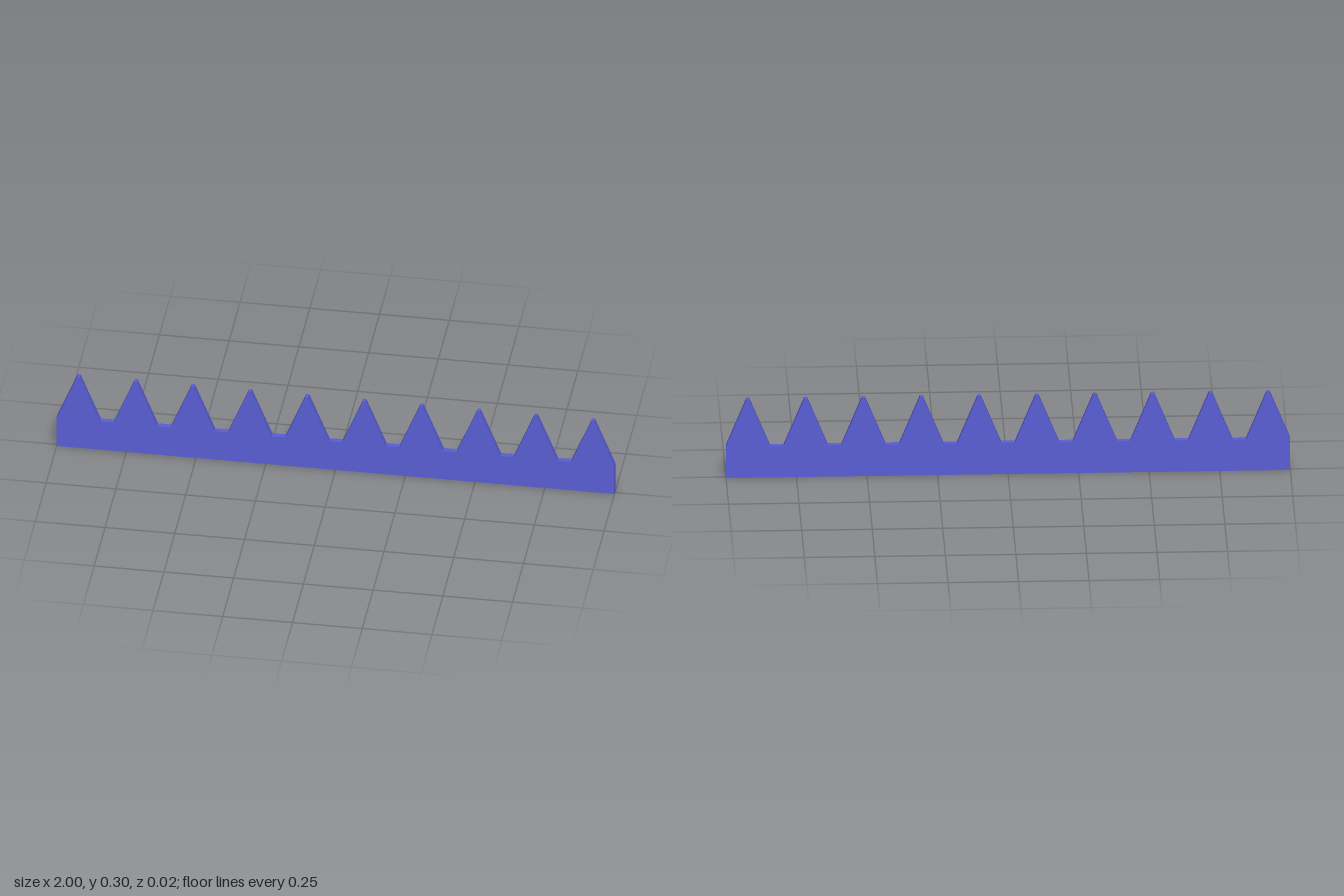
import * as THREE from 'three';

export function createModel() {
  const group = new THREE.Group();
  const blue = new THREE.MeshStandardMaterial({ color: 0x5a5fd6 });
  blue.name = 'blue';

  const teeth = 10, half = 0.078, tip = 0.005;
  const baseTop = 0.12, height = 0.3, depth = 0.02;
  const pitch = (2 - 2 * half) / (teeth - 1);

  // Toothed strip outline: flat bottom, evenly spaced teeth along the top
  const outline = new THREE.Shape();
  outline.moveTo(-1, 0);
  outline.lineTo(1, 0);
  for (let i = teeth - 1; i >= 0; i--) {
    const x = -1 + half + i * pitch;
    outline.lineTo(x + half, baseTop);
    outline.lineTo(x + tip, height);
    outline.lineTo(x - tip, height);
    outline.lineTo(x - half, baseTop);
  }
  outline.closePath();

  const geometry = new THREE.ExtrudeGeometry(outline, { depth, bevelEnabled: false });
  geometry.translate(0, 0, -depth / 2);
  const strip = new THREE.Mesh(geometry, blue);
  strip.name = 'toothedStrip';
  group.add(strip);
  return group;
}
